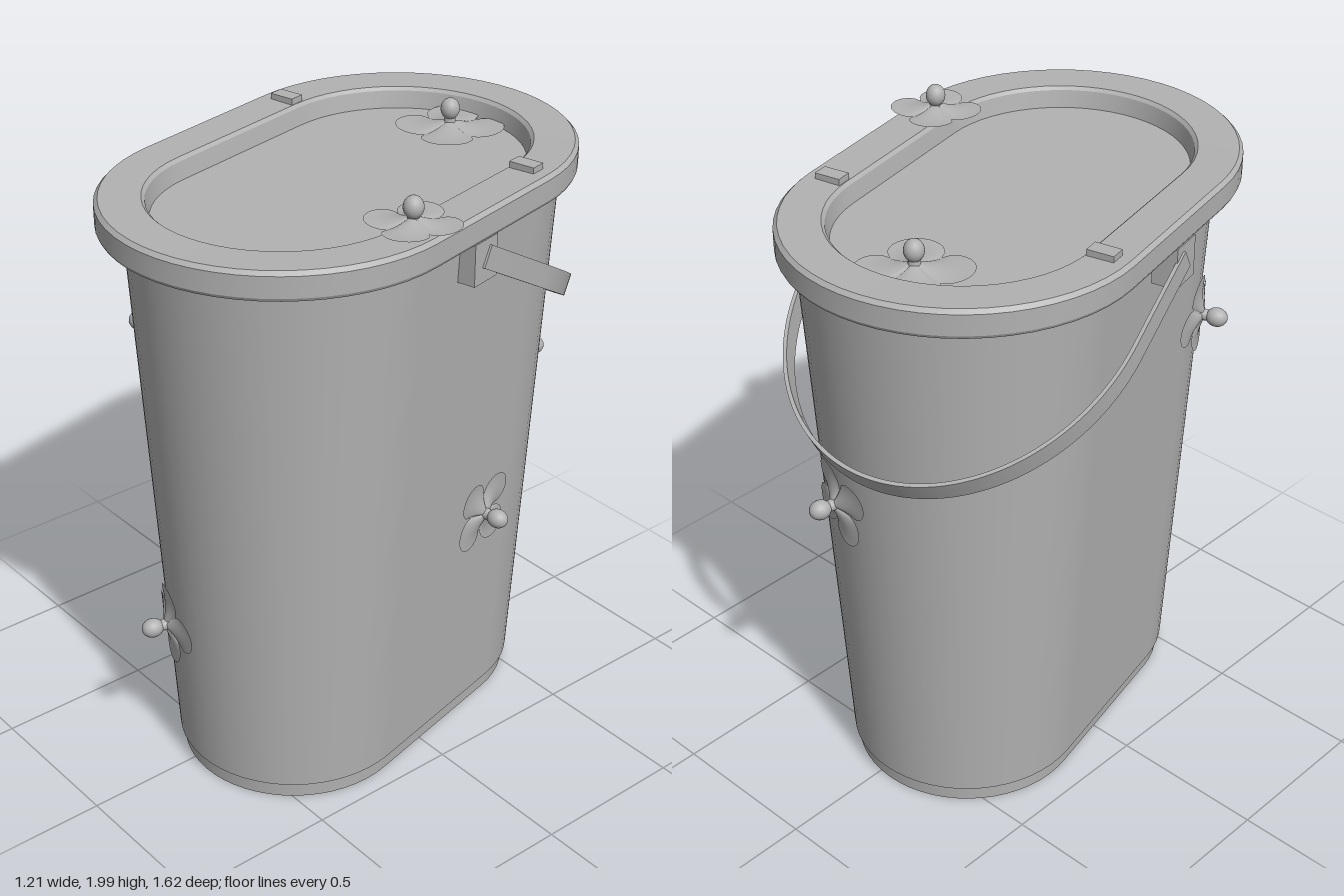
import * as THREE from 'three';
import { toCreasedNormals } from 'three/addons/utils/BufferGeometryUtils.js';

const grey = new THREE.MeshStandardMaterial({ color: 0xb2b2b2 });
grey.name = 'grey';
const greySheet = new THREE.MeshStandardMaterial({ color: 0xb2b2b2, side: THREE.DoubleSide });
greySheet.name = 'grey sheet';

const TURN = 0.218; // the oval is turned slightly about y
const HALF = 0.276; // half length of its straight sides

function mesh(name, geometry, parent, material = grey) {
  const m = new THREE.Mesh(geometry, material);
  m.name = name;
  parent.add(m);
  return m;
}

// Sweeps a [radius, y] profile round an oval; smooth around, sharp between profile steps
function oval(profile) {
  const steps = 28, ring = [];
  for (const end of [1, -1])
    for (let i = 0; i <= steps; i++) {
      const a = (i / steps - 0.5) * Math.PI + (end < 0 ? Math.PI : 0);
      ring.push([Math.sin(a), Math.cos(a), HALF * end]);
    }
  const n = ring.length, pos = [], index = [];
  for (let j = 0; j < profile.length - 1; j++) {
    const base = pos.length / 3;
    for (const [r, y] of [profile[j], profile[j + 1]])
      for (const [s, c, z] of ring) pos.push(r * s, y, r * c + z);
    for (let i = 0; i < n; i++) {
      const a = base + i, b = base + (i + 1) % n;
      index.push(a, b, b + n, a, b + n, a + n);
    }
  }
  const g = new THREE.BufferGeometry();
  g.setAttribute('position', new THREE.Float32BufferAttribute(pos, 3));
  g.setIndex(index);
  g.computeVertexNormals();
  return g;
}

// Four-armed leaf, raised at its middle and bent round a wall of the given radius
function leafGeometry(size, bend, fullness) {
  const g = new THREE.RingGeometry(0.001, 1, 72, 8);
  const p = g.attributes.position;
  for (let i = 0; i < p.count; i++) {
    const t = Math.hypot(p.getX(i), p.getY(i));
    const a = Math.atan2(p.getY(i), p.getX(i));
    const arm = Math.pow(Math.abs(Math.cos(2 * a)), 0.6);
    const r = t * size * (fullness + (1 - fullness) * arm);
    const x = r * Math.cos(a), y = r * Math.sin(a);
    const lift = 0.008 + 0.028 * (1 - t) ** 2 + 0.008 * t * t * arm;
    p.setXYZ(i, x, y, lift - (bend ? x * x / (2 * bend) : 0));
  }
  g.computeVertexNormals();
  return g;
}

// Round knob on a stem, growing out of a leaf; local +z points away from the surface
function knob(name, parent, [x, y, z], { spin = 0, bend = 0, size = 0.13, reach = 0.07, fullness = 0.5 }) {
  const k = new THREE.Group();
  k.name = name;
  k.position.set(x, y, z);
  k.rotation.order = 'YXZ';
  parent.add(k);
  const leaf = leafGeometry(size, 0, fullness);
  leaf.rotateZ(spin);
  const p = leaf.attributes.position;
  if (bend) {
    for (let i = 0; i < p.count; i++) p.setZ(i, p.getZ(i) - p.getX(i) ** 2 / (2 * bend));
    leaf.computeVertexNormals();
  }
  mesh('leaf', leaf, k, greySheet);
  const stem = new THREE.CylinderGeometry(0.014, 0.022, reach, 14).rotateX(Math.PI / 2);
  mesh('stem', stem, k).position.z = reach / 2;
  const ball = mesh('knobBall', new THREE.SphereGeometry(0.03, 20, 14), k);
  ball.scale.z = 1.15;
  ball.position.z = reach;
  return k;
}

export function createModel() {
  const model = new THREE.Group();
  model.name = 'bucket';
  const bucket = new THREE.Group();
  bucket.name = 'ovalBucket';
  bucket.rotation.y = TURN;
  model.add(bucket);

  // Tapered wall on a narrower foot
  const body = mesh('body', oval([[0, 0.01], [0.362, 0.01], [0.364, 0.06], [0.376, 0.065], [0.475, 1.83]]), bucket);
  body.position.x = 0.015;

  // Overhanging rim with the recessed lid
  mesh('rimAndLid', oval([
    [0.45, 1.82], [0.535, 1.82], [0.54, 1.83], [0.54, 1.895], [0.528, 1.907],
    [0.405, 1.905], [0.395, 1.895], [0.385, 1.84], [0, 1.84],
  ]), bucket);

  // Flat carrying band, hanging down behind
  const u = new THREE.Shape();
  u.moveTo(0.547, 0);
  u.lineTo(0.547, 0.33);
  u.absellipse(0, 0.33, 0.547, 0.63, 0, Math.PI, false);
  u.lineTo(-0.547, 0);
  u.lineTo(-0.535, 0);
  u.lineTo(-0.535, 0.33);
  u.absellipse(0, 0.33, 0.535, 0.618, Math.PI, 0, true);
  u.lineTo(0.535, 0);
  const band = new THREE.ExtrudeGeometry(u, { depth: 0.07, bevelEnabled: false, curveSegments: 40 });
  band.translate(0, 0, -0.035);
  const handle = mesh('handle', toCreasedNormals(band, 0.6), bucket);
  handle.rotation.x = -2 * Math.PI / 3;
  handle.position.set(0, 1.77, 0.04);

  // Handle mounts under the rim and small tabs on top of it
  for (const side of [-1, 1]) {
    mesh('handleMount', new THREE.BoxGeometry(0.08, 0.13, 0.11), bucket).position.set(side * 0.5, 1.757, 0.04);
    mesh('rimTab', new THREE.BoxGeometry(0.085, 0.03, 0.05), bucket).position.set(side * 0.45, 1.91, -0.285);
  }

  // Knobs lying on the rim and the lid
  const rimKnob = knob('rimKnob', model, [0.48, 1.907, 0.15], { size: 0.14, reach: 0.058, spin: 0.6, fullness: 0.6 });
  rimKnob.rotation.x = -Math.PI / 2;
  const lidKnob = knob('lidKnob', model, [-0.11, 1.84, -0.52], { size: 0.17, spin: 0.75, fullness: 0.6 });
  lidKnob.rotation.x = -Math.PI / 2;

  // Knobs on the wall: position, outward direction in x and z, leaf spin, wall radius
  const wallKnobs = [
    ['frontKnob', [-0.03, 0.54, 0.656], [-0.28, 0.96], 0, 0.4],
    ['frontRightKnob', [-0.33, 1.39, 0.455], [-0.91, 0.41], 0.2, 0.45],
    ['leftKnob', [0.405, 0.81, -0.213], [0.976, -0.216], 0.72, 0],
    ['backKnob', [0.055, 1.08, -0.69], [0.22, -0.97], 0.5, 0.43],
  ];
  for (const [name, at, [nx, nz], spin, bend] of wallKnobs) {
    const k = knob(name, model, at, { spin, bend, size: 0.14, fullness: 0.42 });
    k.rotation.y = Math.atan2(nx, nz);
    k.rotation.x = 0.056;
  }
  return model;
}
